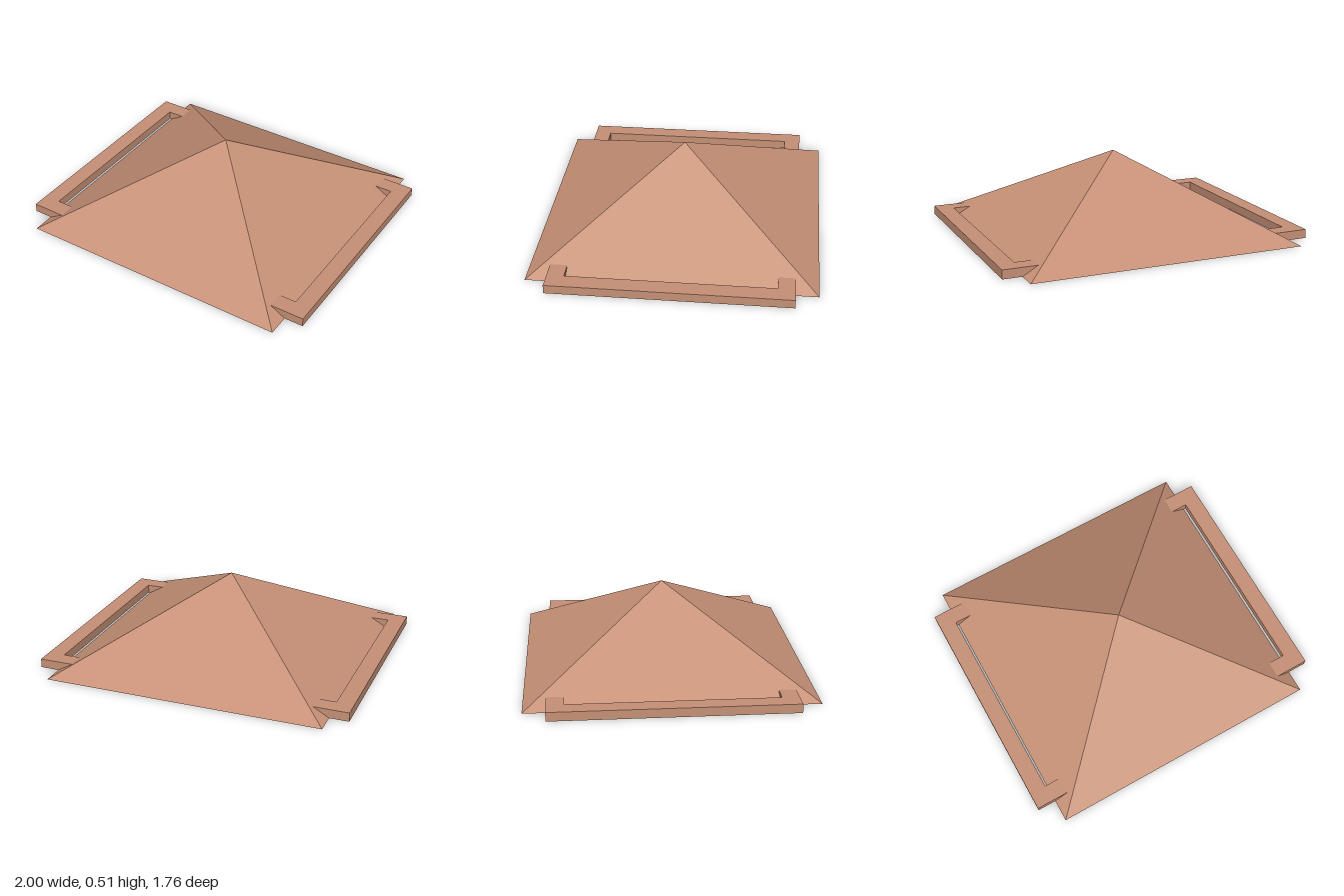
import * as THREE from 'three';

export function createModel() {
  const group = new THREE.Group();
  const clay = new THREE.MeshStandardMaterial({ color: 0xc69076 });
  clay.name = 'clay';

  // Square pyramid with its sides along the axes
  const half = 0.88, height = 0.507;
  const cone = new THREE.ConeGeometry(half * Math.SQRT2, height, 4).toNonIndexed();
  cone.rotateY(Math.PI / 4);
  cone.translate(0, height / 2, 0);
  cone.computeVertexNormals();
  const pyramid = new THREE.Mesh(cone, clay);
  pyramid.name = 'pyramid';
  group.add(pyramid);

  // Flat U-shaped handle, its arms running into the pyramid
  const outline = [
    [0.76, -0.74], [1, -0.74], [1, 0.74], [0.76, 0.74],
    [0.76, 0.635], [0.893, 0.635], [0.893, -0.635], [0.76, -0.635],
  ].map(([x, z]) => new THREE.Vector2(x, z));
  const bar = new THREE.ExtrudeGeometry(new THREE.Shape(outline), { depth: 0.056, bevelEnabled: false });
  bar.rotateX(-Math.PI / 2);

  // One handle on each side
  ['leftHandle', 'rightHandle'].forEach((name, i) => {
    const handle = new THREE.Mesh(bar, clay);
    handle.name = name;
    handle.rotation.y = i * Math.PI;
    group.add(handle);
  });

  return group;
}
